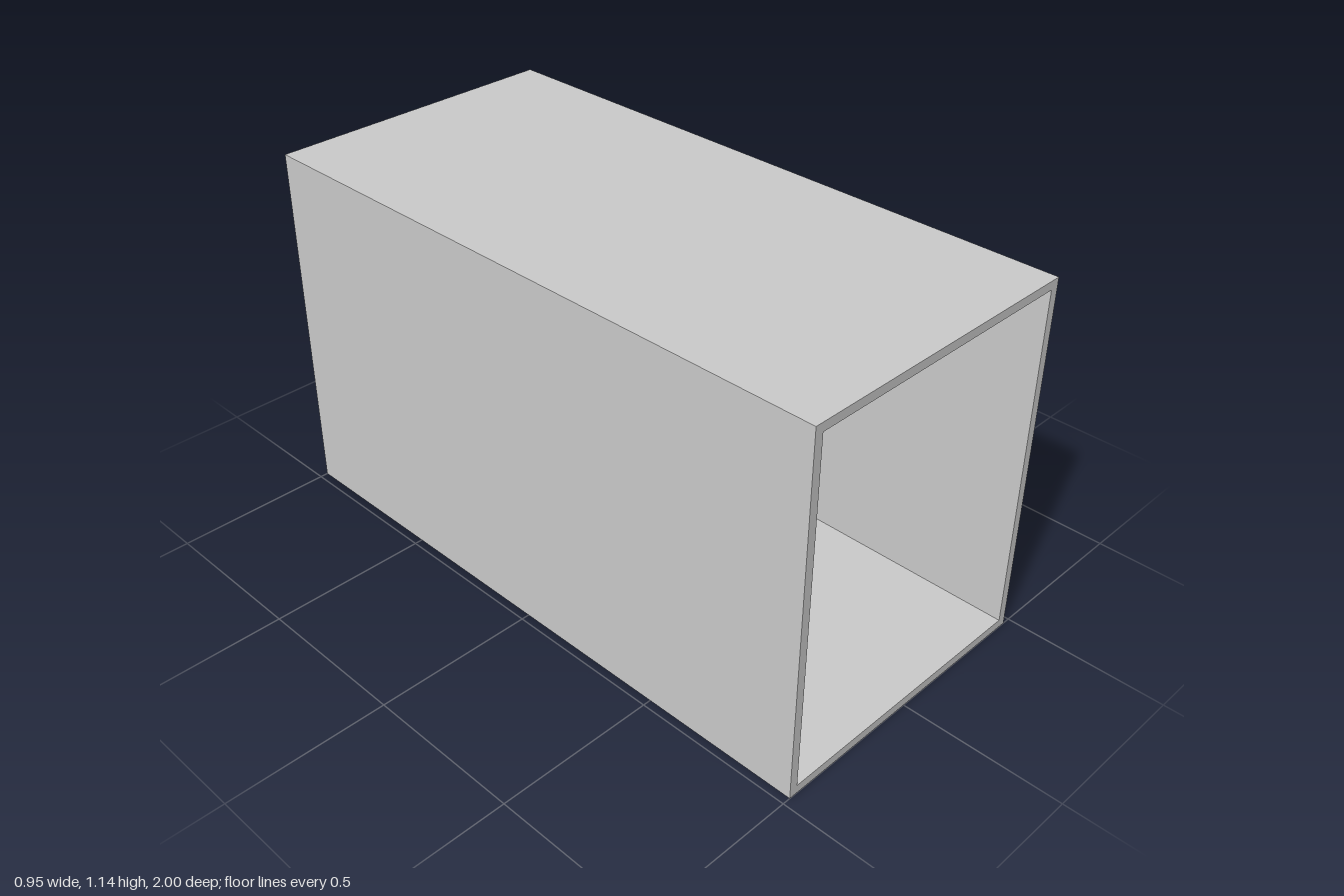
import * as THREE from 'three';

const W = 0.95, H = 1.14, DEPTH = 2;        // outer duct
const WALL = 0.027;                         // duct wall thickness
const OPEN_W = 0.768, OPEN_H = 0.95;        // louvre opening
const FRAME_D = 0.12;                       // louvre frame depth
const BAR_W = 0.016;                        // centre bar width
const BLADES = 8, PITCH = 0.1213;

const material = new THREE.MeshStandardMaterial({ color: 0xcccccc, flatShading: true });

// Rectangular ring, extruded along z from the back plane
function ring(name, w, h, holeW, holeH, depth) {
  const rect = (T, a, b) => {
    const p = new T();
    p.moveTo(-a / 2, -b / 2);
    p.lineTo(a / 2, -b / 2);
    p.lineTo(a / 2, b / 2);
    p.lineTo(-a / 2, b / 2);
    p.closePath();
    return p;
  };
  const shape = rect(THREE.Shape, w, h);
  shape.holes.push(rect(THREE.Path, holeW, holeH));
  const geometry = new THREE.ExtrudeGeometry(shape, { depth, bevelEnabled: false });
  const mesh = new THREE.Mesh(geometry, material);
  mesh.name = name;
  mesh.position.set(0, H / 2, -DEPTH / 2);
  return mesh;
}

function box(name, w, h, d, x, y, z) {
  const mesh = new THREE.Mesh(new THREE.BoxGeometry(w, h, d), material);
  mesh.name = name;
  mesh.position.set(x, y, z);
  return mesh;
}

export function createModel() {
  const model = new THREE.Group();
  model.name = 'louvredDuct';

  // Open-fronted duct with a frame set flush in its back end
  model.add(ring('duct', W, H, W - 2 * WALL, H - 2 * WALL, DEPTH));
  model.add(ring('louvreFrame', W - 2 * WALL, H - 2 * WALL, OPEN_W, OPEN_H, FRAME_D));

  // Vertical bar dividing the opening
  const z = -DEPTH / 2 + FRAME_D / 2;
  model.add(box('centreBar', BAR_W, OPEN_H, FRAME_D, 0, H / 2, z));

  // Two columns of blades sloping down towards the back
  const bladeW = (OPEN_W - BAR_W) / 2;
  const blades = new THREE.Group();
  blades.name = 'louvreBlades';
  for (const side of [-1, 1]) {
    for (let i = 0; i < BLADES; i++) {
      const y = H / 2 + (i - (BLADES - 1) / 2) * PITCH;
      const blade = box('blade', bladeW, 0.009, 0.097, side * (BAR_W + bladeW) / 2, y, z);
      blade.rotation.x = -Math.PI / 4;
      blades.add(blade);
    }
  }
  model.add(blades);
  return model;
}
